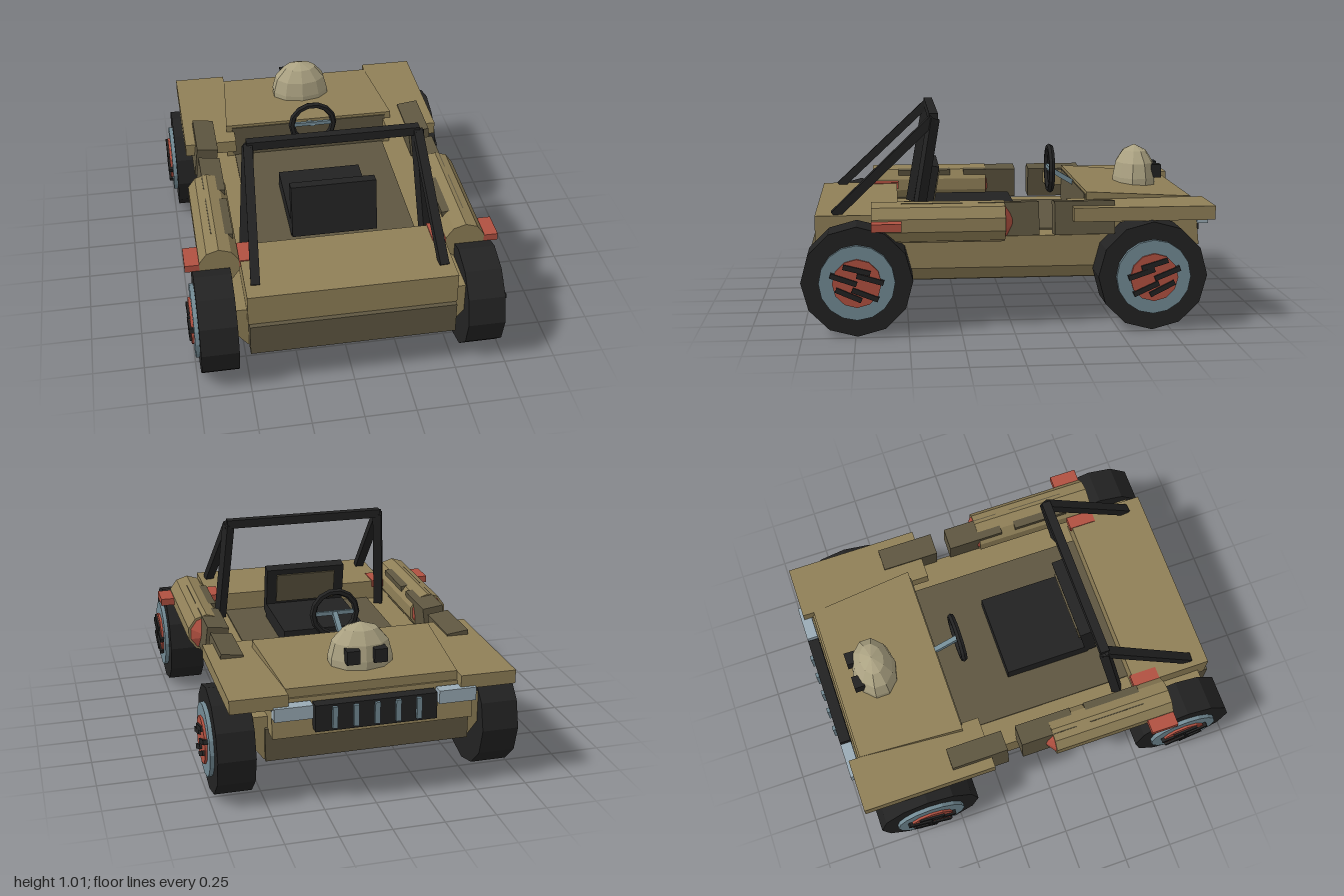
import * as THREE from 'three';

const mat = (name, color) => new THREE.MeshStandardMaterial({ name, color, flatShading: true });

export function createModel() {
  const tan = mat('tan', 0x8f7f57), olive = mat('olive', 0x5e5640), black = mat('black', 0x222222);
  const steel = mat('steel blue', 0x728a94), red = mat('red', 0xb05040);
  const beige = mat('beige', 0xaba282), lamp = mat('lamp grey', 0x9aabb5);
  const root = new THREE.Group();

  const add = (name, geo, m, parent = root) => {
    const mesh = new THREE.Mesh(geo, m);
    mesh.name = name;
    parent.add(mesh);
    return mesh;
  };
  // box from min/max extents
  const box = (name, m, x0, x1, y0, y1, z0, z1, parent = root) => {
    const b = add(name, new THREE.BoxGeometry(x1 - x0, y1 - y0, z1 - z0), m, parent);
    b.position.set((x0 + x1) / 2, (y0 + y1) / 2, (z0 + z1) / 2);
    return b;
  };
  // square bar between two points
  const bar = (name, m, a, b, t, parent = root) => {
    const A = new THREE.Vector3(...a), B = new THREE.Vector3(...b);
    const mesh = add(name, new THREE.BoxGeometry(t, t, A.distanceTo(B)), m, parent);
    mesh.position.copy(A).add(B).multiplyScalar(0.5);
    mesh.lookAt(B);
    return mesh;
  };
  // cross-section in x/y, extruded from z0 to z1
  const prism = (name, m, pts, z0, z1) => {
    const s = new THREE.Shape(pts.map(p => new THREE.Vector2(...p)));
    const mesh = add(name, new THREE.ExtrudeGeometry(s, { depth: z1 - z0, bevelEnabled: false }), m);
    mesh.position.z = z0;
    return mesh;
  };

  // hull with tapered sills, and the lower chassis
  prism('hull', tan, [[-0.5, 0.216], [0.5, 0.216], [0.55, 0.28], [0.55, 0.432], [-0.55, 0.432], [-0.55, 0.28]], -0.84, 0.9);
  box('chassis', olive, -0.495, 0.495, 0.212, 0.375, -0.86, 0.965);
  box('cockpitFloor', olive, -0.41, 0.41, 0.43, 0.44, -0.38, 0.54);
  box('rearDeck', tan, -0.5, 0.5, 0.376, 0.535, 0.54, 0.942);

  // nose with a slanted front face
  const nose = box('nose', tan, -0.48, 0.48, 0.36, 0.545, -0.94, -0.7);
  const np = nose.geometry.attributes.position;
  for (let i = 0; i < np.count; i++) if (np.getZ(i) < 0 && np.getY(i) > 0) np.setZ(i, np.getZ(i) + 0.02);

  // hood, rising and widening toward the cockpit
  const hood = box('hood', tan, -0.41, 0.41, 0.43, 0.59, -0.91, -0.38);
  const hp = hood.geometry.attributes.position;
  for (let i = 0; i < hp.count; i++) if (hp.getZ(i) > 0) {
    hp.setX(i, hp.getX(i) * 1.1);
    if (hp.getY(i) > 0) hp.setY(i, hp.getY(i) + 0.035);
  }
  box('dashboard', olive, -0.42, 0.42, 0.44, 0.61, -0.381, -0.374);

  // grille, bars and headlamps
  box('grille', black, -0.29, 0.29, 0.395, 0.525, -0.985, -0.93);
  for (let i = -2; i <= 2; i++) box('grilleBar', steel, i * 0.1 - 0.012, i * 0.1 + 0.012, 0.41, 0.515, -1, -0.98);

  for (const s of [-1, 1]) {
    const side = new THREE.Group();
    side.name = s > 0 ? 'leftSide' : 'rightSide';
    root.add(side);
    const sb = (name, m, x0, x1, ...r) => box(name, m, Math.min(s * x0, s * x1), Math.max(s * x0, s * x1), ...r, side);
    sb('headlamp', lamp, 0.3, 0.48, 0.465, 0.53, -0.985, -0.93);
    sb('frontFender', tan, 0.41, 0.68, 0.52, 0.587, -0.968, -0.285);
    // side lockers, slightly tilted
    for (let i = 0; i < 3; i++) {
      const z = -0.345 + i * 0.365;
      sb('sideLocker', olive, 0.525, 0.635, 0.445, 0.605, z - 0.145, z + 0.145).rotation.z = s * 0.13;
    }
    // side pod with a pointed nose
    const pod = add('sidePod', new THREE.CylinderGeometry(0.1, 0.1, 0.63, 10), tan, side);
    pod.rotation.x = Math.PI / 2;
    pod.position.set(s * 0.6, 0.517, 0.355);
    const tip = add('podTip', new THREE.ConeGeometry(0.095, 0.07, 10), red, side);
    tip.rotation.x = -Math.PI / 2;
    tip.position.set(s * 0.6, 0.517, 0.01);
    sb('tailFin', red, 0.44, 0.765, 0.503, 0.54, 0.53, 0.67);

    // roll cage side
    bar('rollCageUpright', black, [s * 0.412, 0.99, 0.365], [s * 0.455, 0.44, 0.46], 0.046, side);
    bar('rollCageStrut', black, [s * 0.412, 0.99, 0.365], [s * 0.45, 0.53, 0.85], 0.044, side);

    // wheels
    for (const z of [-0.66, 0.74]) {
      const wheel = new THREE.Group();
      wheel.name = z < 0 ? 'frontWheel' : 'rearWheel';
      wheel.position.set(0, 0.262, z);
      side.add(wheel);
      const disc = (name, m, r, x0, x1, n) => {
        const d = add(name, new THREE.CylinderGeometry(r, r, x1 - x0, n), m, wheel);
        d.rotation.z = Math.PI / 2;
        d.position.x = s * (x0 + x1) / 2;
      };
      disc('tyre', black, 0.262, 0.55, 0.73, 12);
      disc('rim', steel, 0.178, 0.7, 0.75, 16);
      disc('hub', red, 0.115, 0.74, 0.762, 12);
      for (let k = 0; k < 5; k++) {
        const a = k * Math.PI * 2 / 5;
        bar('spoke', black, [s * 0.76, 0, 0], [s * 0.76, 0.13 * Math.cos(a), 0.13 * Math.sin(a)], 0.024, wheel);
      }
    }
  }
  bar('rollCageTop', black, [-0.42, 0.992, 0.365], [0.42, 0.992, 0.365], 0.044);

  // seat
  box('seatCushion', black, -0.213, 0.213, 0.44, 0.52, -0.055, 0.39);
  const back = new THREE.Group();
  back.name = 'seatBack';
  back.position.set(0, 0.5, 0.4);
  back.rotation.x = -0.17;
  root.add(back);
  box('backrest', black, -0.213, 0.213, -0.04, 0.23, -0.03, 0.03, back);
  box('backrestPad', olive, -0.16, 0.16, 0.04, 0.2, -0.039, -0.03, back);

  // steering wheel and column
  add('steeringWheel', new THREE.TorusGeometry(0.112, 0.017, 6, 14), black).position.set(0, 0.677, -0.255);
  bar('steeringColumn', steel, [0, 0.6, -0.38], [0, 0.677, -0.25], 0.025);
  box('steeringCrossbar', steel, -0.1, 0.1, 0.667, 0.687, -0.262, -0.248);

  // domed head with two eyes on the hood
  const profile = [[0.112, 0.57], [0.112, 0.635], [0.098, 0.71], [0.06, 0.77], [0, 0.8]];
  const dome = add('dome', new THREE.LatheGeometry(profile.map(p => new THREE.Vector2(...p)), 10), beige);
  dome.scale.x = 1.4;
  dome.position.z = -0.703;
  for (const s of [-1, 1]) box('eye', black, s * 0.066 - 0.032, s * 0.066 + 0.032, 0.635, 0.702, -0.828, -0.775);

  return root;
}
